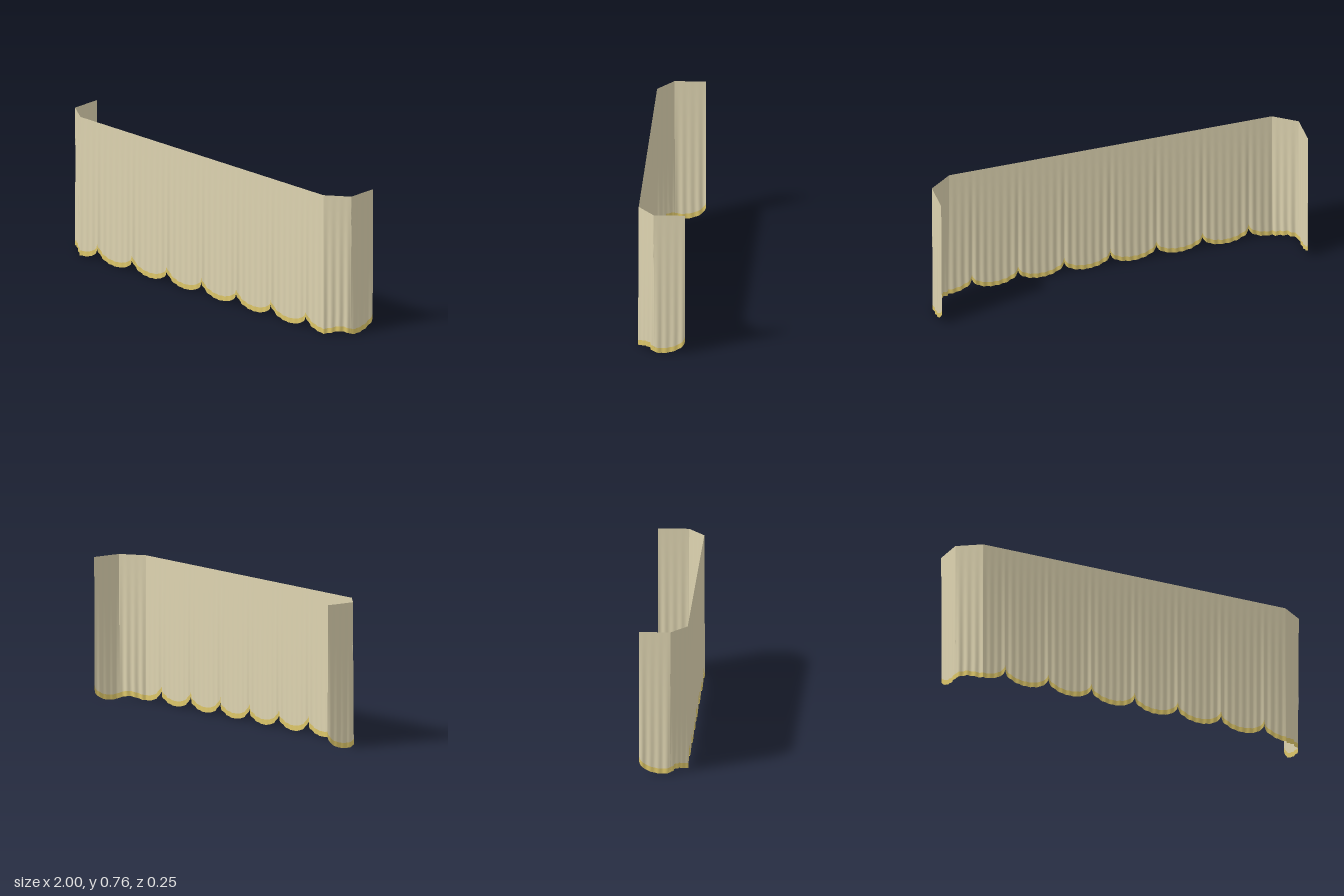
import * as THREE from 'three';

const TOP = 0.76, TRIM = 0.027, FRONT = 0.122, SCALLOP = 0.125;

// Plan outline: side return, angled corner, long front, then mirrored
const HALF = [[0.995, -0.125], [0.995, 0], [0.995, 0.038], [0.875, FRONT], [0.75, FRONT]];
const outline = [
  ...HALF.map(([x, z]) => [-x, z]),
  ...[-0.5, -0.25, 0, 0.25, 0.5].map((x) => [x, FRONT]),
  ...HALF.map((p) => p.slice()).reverse(),
];

// Height of the scalloped hem at a point of the outline
function hem(x, z) {
  const ax = Math.abs(x);
  let u;
  if (z < 0) u = -z / SCALLOP;
  else if (ax <= 0.875) u = Math.abs((ax % 0.25) - SCALLOP) / SCALLOP;
  else {
    const diagonal = Math.hypot(0.12, FRONT - 0.038);
    const d = z < 0.038 ? diagonal + 0.038 - z : Math.hypot(ax - 0.875, FRONT - z);
    return 0.017 * Math.sin(Math.PI * Math.min(1, d / (diagonal + 0.038))) ** 2;
  }
  return 0.07 * (1 - Math.sqrt(Math.max(0, 1 - u * u)));
}

// Closely spaced stations along the outline, denser towards each corner and cusp
function makeStations() {
  const list = [];
  let length = 0;
  for (let i = 0; i < outline.length - 1; i++) {
    const [x0, z0] = outline[i], [x1, z1] = outline[i + 1];
    const span = Math.hypot(x1 - x0, z1 - z0);
    const n = Math.max(10, Math.round(span / 0.005));
    for (let k = 0; k <= n; k++) {
      if (k === 0 && i > 0) continue;
      const t = (1 - Math.cos((Math.PI * k) / n)) / 2;
      const x = x0 + (x1 - x0) * t, z = z0 + (z1 - z0) * t;
      list.push({ x, z, s: length + span * t, y: hem(x, z) });
    }
    length += span;
  }
  list.forEach((p, i) => {
    const a = list[Math.max(0, i - 1)], b = list[Math.min(list.length - 1, i + 1)];
    const l = Math.hypot(b.x - a.x, b.z - a.z);
    p.nx = -(b.z - a.z) / l;
    p.nz = (b.x - a.x) / l;
    // Soft folds, deepest beside the cusps
    const amount = 0.0025 + 0.0025 * Math.min(1, p.y / 0.05);
    const corner = Math.abs(p.x) > 0.875 && p.z > 0.03 ? 0.002 : 0;
    p.fold = (amount + corner) * Math.cos(((p.s - length / 2) * 2 * Math.PI) / 0.0417);
  });
  return list;
}

// Cloth strip between two heights; folds fade out towards the top
function strip(stations, low, high, rows) {
  const pos = [], index = [];
  for (let j = 0; j <= rows; j++) {
    for (const p of stations) {
      const y = THREE.MathUtils.lerp(low(p), high(p), j / rows);
      const f = p.fold * (1 - y / TOP);
      pos.push(p.x + p.nx * f, y, p.z + p.nz * f);
    }
  }
  const n = stations.length;
  for (let j = 0; j < rows; j++) {
    for (let i = 0; i < n - 1; i++) {
      const a = j * n + i, b = a + 1, c = a + n, d = c + 1;
      index.push(a, b, d, a, d, c);
    }
  }
  const g = new THREE.BufferGeometry();
  g.setAttribute('position', new THREE.Float32BufferAttribute(pos, 3));
  g.setIndex(index);
  g.computeVertexNormals();
  return g;
}

export function createModel() {
  const group = new THREE.Group();
  group.name = 'scallopedValance';
  const stations = makeStations();
  const add = (name, color, geometry) => {
    const material = new THREE.MeshStandardMaterial({ color, side: THREE.DoubleSide });
    const mesh = new THREE.Mesh(geometry, material);
    mesh.name = name;
    group.add(mesh);
  };
  // Hanging cloth and the golden border along its hem
  add('cloth', 0xddd3b0, strip(stations, (p) => p.y + TRIM, () => TOP, 10));
  add('hemTrim', 0xdec76a, strip(stations, (p) => p.y, (p) => p.y + TRIM, 2));
  return group;
}
